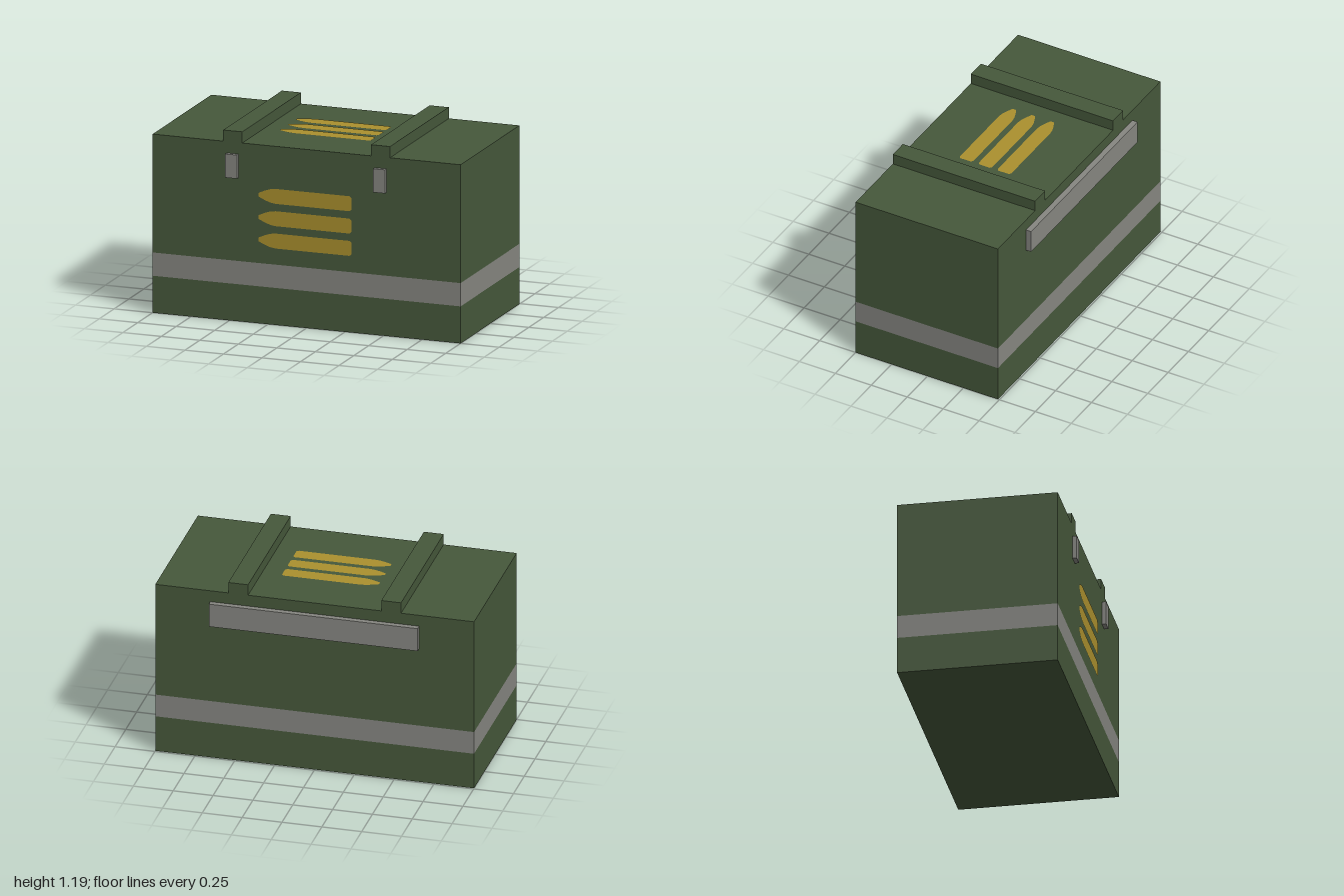
import * as THREE from 'three';

const paint = (name, color) => {
  const m = new THREE.MeshStandardMaterial({ color });
  m.name = name;
  return m;
};

export function createModel() {
  const green = paint('olive green', 0x46583b);
  const grey = paint('steel grey', 0x868681);
  const gold = paint('brass yellow', 0xab902e);
  const root = new THREE.Group();
  root.name = 'ammoCrate';

  const add = (name, geometry, material) => {
    const mesh = new THREE.Mesh(geometry, material);
    mesh.name = name;
    root.add(mesh);
    return mesh;
  };
  // Box given by its lower and upper limits on each axis
  const block = (name, [x0, x1], [y0, y1], [z0, z1], material) =>
    add(name, new THREE.BoxGeometry(x1 - x0, y1 - y0, z1 - z0), material)
      .position.set((x0 + x1) / 2, (y0 + y1) / 2, (z0 + z1) / 2);

  const BACK = -0.49, FRONT = 0.5, TOP = 1.12;

  // Crate body: three rows per wall, the middle row being the flush grey band
  const levels = [0, 0.232, 0.378, TOP];
  const body = new THREE.BoxGeometry(2, 3, FRONT - BACK, 1, 3, 1);
  const pos = body.attributes.position;
  for (let i = 0; i < pos.count; i++) pos.setY(i, levels[Math.round(pos.getY(i) + 1.5)]);
  body.translate(0, 0, (FRONT + BACK) / 2);
  body.clearGroups();
  const walls = [0, 18, 48, 66]; // first index of the +x, -x, +z and -z walls
  for (const start of walls) {
    for (let row = 0; row < 3; row++) body.addGroup(start + row * 6, 6, row === 1 ? 1 : 0);
  }
  body.addGroup(36, 12, 0); // top and bottom
  add('crateBody', body, [green, grey]);

  // Lid ridges and front latches
  for (const [side, s] of [['left', 1], ['right', -1]]) {
    const span = (a, b) => (s > 0 ? [a, b] : [-b, -a]);
    block(side + 'LidRidge', span(0.418, 0.542), [TOP, 1.19], [BACK, FRONT], green);
    block(side + 'Latch', span(0.442, 0.518), [0.9, 1.048], [FRONT, 0.526], grey);
  }

  // Long hinge plate on the back
  block('hingePlate', [-0.655, 0.655], [0.896, 1.047], [-0.526, BACK], grey);

  // Painted cartridge with blunt nose pointing to -x
  const h = 0.047;
  const half = [[-0.31, 0.012], [-0.27, 0.03], [-0.235, 0.042], [-0.2, h], [0.28, h], [0.293, 0.036]];
  const outline = [...half.map(([x, y]) => [x, -y]), ...half.slice().reverse()];
  const cartridge = new THREE.ShapeGeometry(
    new THREE.Shape(outline.map(([x, y]) => new THREE.Vector2(x, y))));

  // Three cartridges on the front and three on the lid
  for (let i = -1; i <= 1; i++) {
    add('frontCartridge', cartridge, gold).position.set(0, 0.667 + i * 0.14, FRONT + 0.003);
    const lidMark = add('lidCartridge', cartridge, gold);
    lidMark.rotation.x = -Math.PI / 2;
    lidMark.position.set(0, TOP + 0.003, 0.003 + i * 0.132);
  }
  return root;
}
